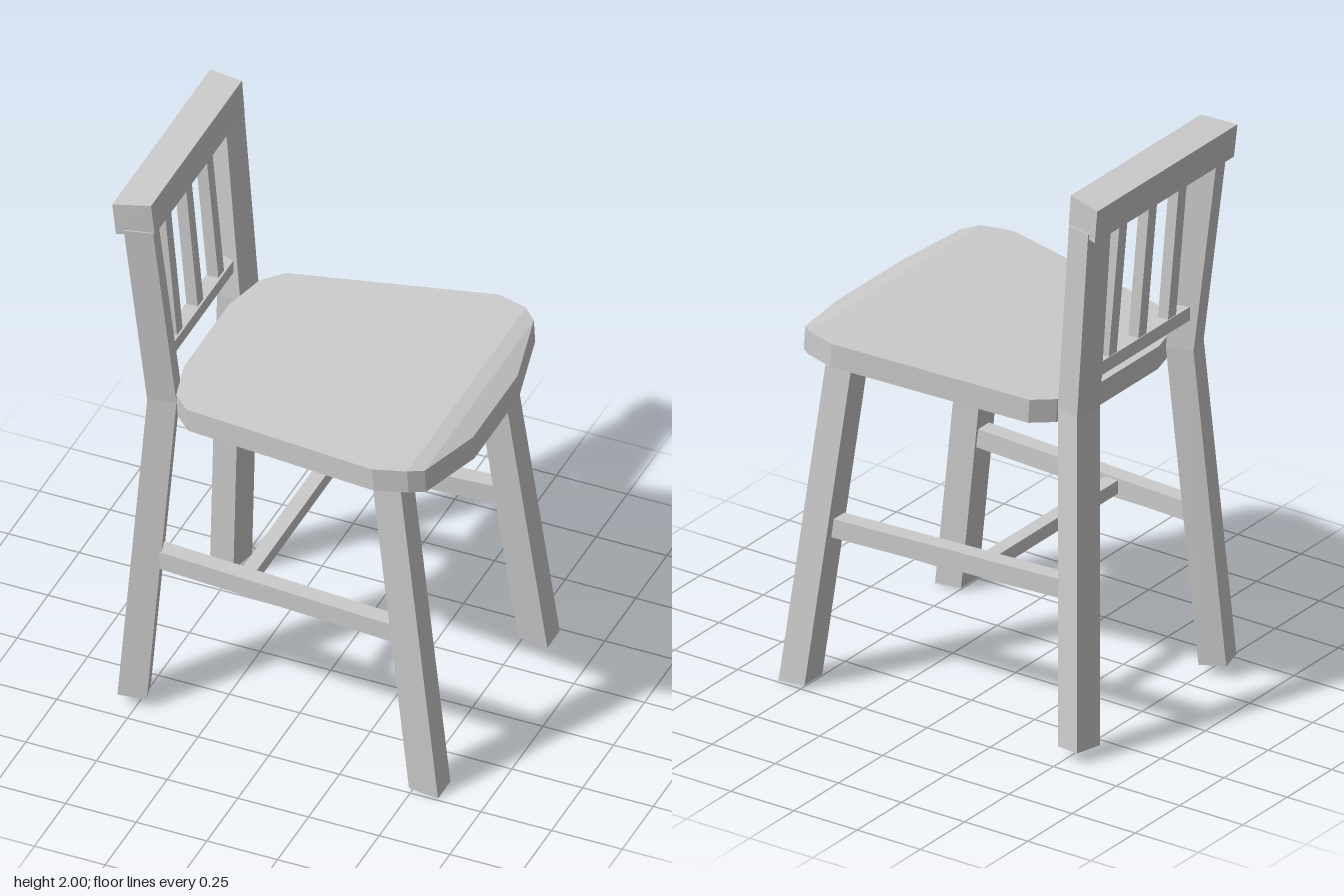
import * as THREE from 'three';

const material = new THREE.MeshStandardMaterial({ color: 0xcccccc, flatShading: true });

// Solid through a row of four-cornered sections, closed at both ends.
function loft(name, sections) {
  const tris = [];
  const quad = (a, b, c, d) => tris.push([a, b, c], [a, c, d]);
  for (let i = 0; i < sections.length - 1; i++) {
    const s = sections[i], t = sections[i + 1];
    for (let j = 0; j < 4; j++) {
      const k = (j + 1) % 4;
      quad(s[j], s[k], t[k], t[j]);
    }
  }
  const first = sections[0], last = sections[sections.length - 1];
  quad(first[3], first[2], first[1], first[0]);
  quad(last[0], last[1], last[2], last[3]);

  // Turn the faces outward if the sections ran the other way round.
  const v = (p) => new THREE.Vector3(...p);
  const volume = tris.reduce((sum, [a, b, c]) => sum + v(a).dot(v(b).cross(v(c))), 0);
  if (volume < 0) tris.forEach((t) => t.reverse());

  const geometry = new THREE.BufferGeometry();
  geometry.setAttribute('position', new THREE.Float32BufferAttribute(tris.flat(2), 3));
  geometry.computeVertexNormals();
  const mesh = new THREE.Mesh(geometry, material);
  mesh.name = name;
  return mesh;
}

// Level rectangle around (x, z), for upright bars.
const level = (x, y, z, w, d, tilt = 0) => [
  [x - w / 2, y + tilt, z - d / 2], [x + w / 2, y, z - d / 2],
  [x + w / 2, y, z + d / 2], [x - w / 2, y + tilt, z + d / 2],
];

// Upright rectangle facing x, for bars running front to back.
const facingX = (x, y, z, h, d) => [
  [x, y - h / 2, z - d / 2], [x, y + h / 2, z - d / 2],
  [x, y + h / 2, z + d / 2], [x, y - h / 2, z + d / 2],
];

// Upright rectangle facing z, for bars running across.
const facingZ = (x, y, z, h, w) => [
  [x - w / 2, y - h / 2, z], [x + w / 2, y - h / 2, z],
  [x + w / 2, y + h / 2, z], [x - w / 2, y + h / 2, z],
];

// Section of a back post, turned slightly inward; (x, z) is its front outer corner.
const postSection = (x, y, z, side, tilt = 0) => [
  [x, y, z * side], [x - 0.025, y, (z - 0.093) * side],
  [x - 0.118, y + tilt, (z - 0.069) * side], [x - 0.093, y + tilt, (z + 0.024) * side],
];

export function createModel() {
  const chair = new THREE.Group();
  chair.name = 'chair';

  // Seat: stations from back to front as x, half width, top height
  const stations = [
    [-0.44, 0.18, 1.23], [-0.4, 0.335, 1.233], [-0.335, 0.4, 1.238], [0.37, 0.512, 1.287],
    [0.48, 0.48, 1.29], [0.525, 0.44, 1.279], [0.582, 0.18, 1.252],
  ];
  chair.add(loft('seat', stations.map(([x, w, y]) => [
    [x, y, -w], [x, y, w], [x + 0.005, y - 0.084, w], [x + 0.005, y - 0.084, -w],
  ])));

  for (const side of [1, -1]) {
    const label = side > 0 ? 'left' : 'right';

    // Splayed front leg
    chair.add(loft(label + 'FrontLeg', [
      level(0.543, 0.003, 0.441 * side, 0.103, 0.1, 0.012),
      level(0.386, 1.215, 0.392 * side, 0.1, 0.098),
    ]));

    // Back leg and post in one piece, bent at seat height
    chair.add(loft(label + 'BackPost', [
      postSection(-0.465, 0.036, 0.425, side, 0.01),
      postSection(-0.4, 1.2, 0.333, side),
      postSection(-0.468, 1.89, 0.367, side),
    ]));

    // Side stretcher
    chair.add(loft(label + 'Stretcher', [
      facingX(-0.47, 0.58, 0.35 * side, 0.068, 0.06),
      facingX(0.45, 0.58, 0.41 * side, 0.068, 0.06),
    ]));
  }

  // Stretcher joining the two side stretchers
  chair.add(loft('crossStretcher', [-0.37, 0.37].map((z) => facingZ(-0.14, 0.582, z, 0.048, 0.05))));

  // Top rail, slightly tilted and narrower at the front
  chair.add(loft('topRail', [1, -1].map((s) => [
    [-0.6, 1.988, 0.395 * s], [-0.475, 2, 0.367 * s],
    [-0.464, 1.882, 0.362 * s], [-0.588, 1.87, 0.392 * s],
  ])));

  // Lower back rail
  chair.add(loft('lowerBackRail', [-0.27, 0.27].map((z) => facingZ(-0.479, 1.332, z, 0.048, 0.05))));

  // Back slats
  for (const z of [-0.167, 0, 0.167]) {
    chair.add(loft('backSlat', [
      level(-0.48, 1.345, z, 0.04, 0.045),
      level(-0.528, 1.89, z, 0.04, 0.045),
    ]));
  }

  return chair;
}
